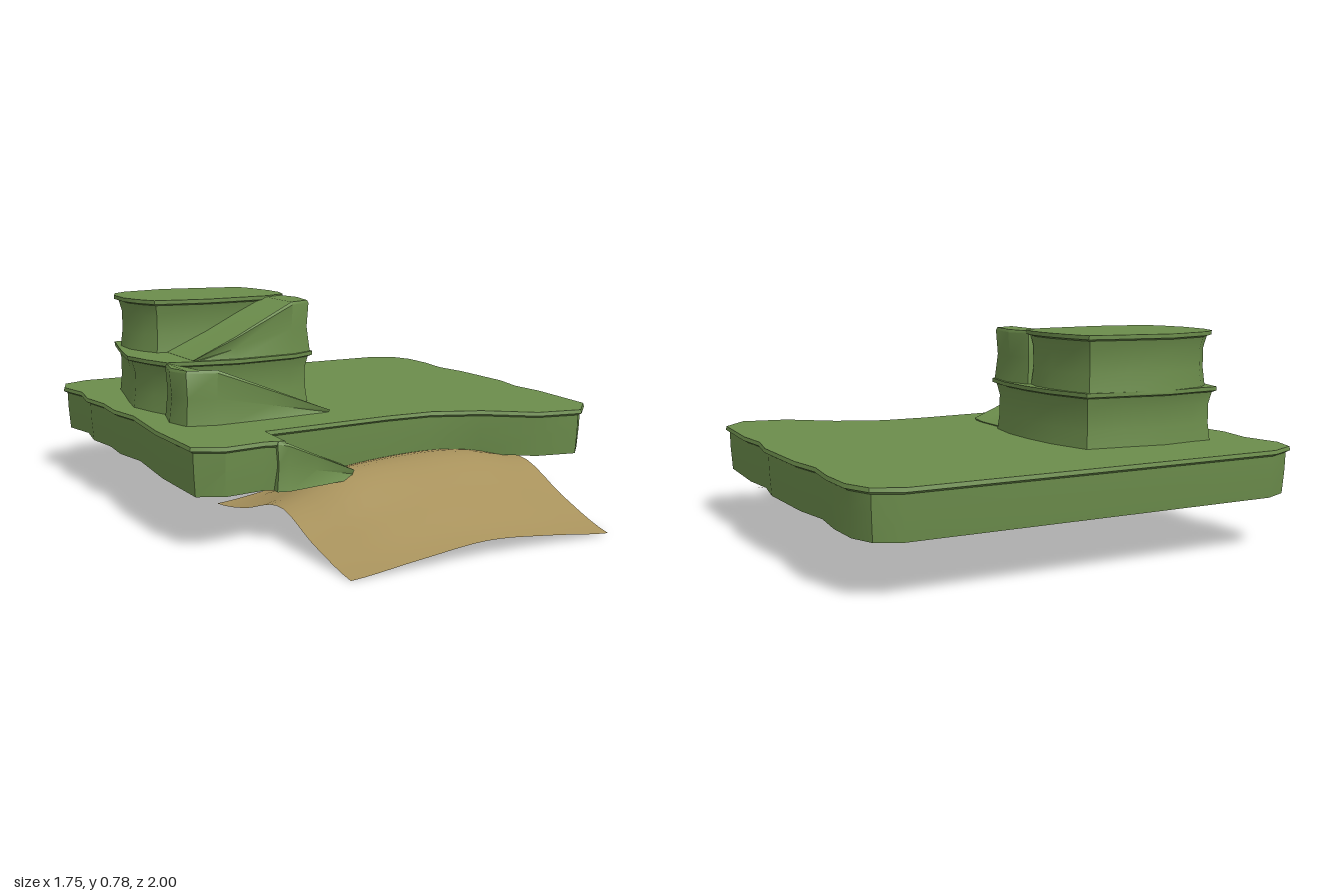
import * as THREE from 'three';
import { toCreasedNormals } from 'three/addons/utils/BufferGeometryUtils.js';

const grass = new THREE.MeshStandardMaterial({ color: 0x6b8c4b });
const sand = new THREE.MeshStandardMaterial({ color: 0xa8925c, side: THREE.DoubleSide });

// Profiles are [height fraction, inset from outline], bottom to top.
const CLIFF = [[0, 0.02], [0.35, 0.03], [0.7, 0.03], [0.9, 0.018], [0.93, 0], [1, 0]];
const SLAB = [[0, 0.025], [0.5, 0.018], [0.87, 0.016], [0.92, 0], [1, 0.004]];
const RAMP = [[0, -0.005], [0.5, 0.008], [0.95, 0], [1, 0.006]];

// Stacks inset copies of an (x, z) outline between base and a top height that may slope.
function cliff(name, outline, base, top, profile) {
  let pts = outline.map(([x, z]) => new THREE.Vector2(x, -z));
  if (THREE.ShapeUtils.area(pts) < 0) pts.reverse();
  const n = pts.length;
  const inward = pts.map((p, i) => {
    const d1 = p.clone().sub(pts[(i + n - 1) % n]).normalize();
    const d2 = pts[(i + 1) % n].clone().sub(p).normalize();
    const d = d1.add(d2).normalize();
    return new THREE.Vector2(-d.y, d.x);
  });
  const pos = [], idx = [];
  for (const [t, inset] of profile) {
    pts.forEach((p, i) => {
      const q = p.clone().addScaledVector(inward[i], inset);
      pos.push(q.x, base + t * (top(p.x, -p.y) - base), -q.y);
    });
  }
  for (let r = 0; r < profile.length - 1; r++) {
    for (let i = 0; i < n; i++) {
      const a = r * n + i, b = r * n + (i + 1) % n;
      idx.push(a, b, b + n, a, b + n, a + n);
    }
  }
  const last = (profile.length - 1) * n;
  for (const [a, b, c] of THREE.ShapeUtils.triangulateShape(pts, [])) {
    idx.push(last + a, last + b, last + c, a, c, b);
  }
  const geo = new THREE.BufferGeometry();
  geo.setAttribute('position', new THREE.Float32BufferAttribute(pos, 3));
  geo.setIndex(idx);
  const mesh = new THREE.Mesh(toCreasedNormals(geo, 0.6), grass);
  mesh.name = name;
  return mesh;
}

// Height that runs from y0 at x0 to y1 at x1 and is level beyond.
const slope = (x0, y0, x1, y1) => (x) =>
  y0 + (y1 - y0) * THREE.MathUtils.clamp((x - x0) / (x1 - x0), 0, 1);

// Draped sheet: smooth surface through a coarse grid of heights.
function beach() {
  const xs = [-0.52, -0.27, 0.01, 0.28, 0.535];
  const zs = [-0.05, 0.2, 0.5, 0.75, 1];
  const heights = [
    [0.008, 0.04, 0.075, 0.088, 0.085],
    [0.05, 0.13, 0.175, 0.18, 0.145],
    [0.125, 0.215, 0.235, 0.23, 0.185],
    [0.055, 0.115, 0.15, 0.13, 0.085],
    [0.004, 0.032, 0.058, 0.037, 0.008],
  ];
  const along = (keys, values, k) => {
    const curve = new THREE.SplineCurve(values.map((v, i) => new THREE.Vector2(keys[i], v)));
    let i = 0;
    while (i < keys.length - 2 && k > keys[i + 1]) i++;
    const f = (k - keys[i]) / (keys[i + 1] - keys[i]);
    return curve.getPoint(THREE.MathUtils.clamp((i + f) / (keys.length - 1), 0, 1)).y;
  };
  const geo = new THREE.PlaneGeometry(1.055, 1.05, 20, 20);
  geo.rotateX(-Math.PI / 2).translate(0.0075, 0, 0.475);
  const p = geo.attributes.position;
  for (let i = 0; i < p.count; i++) {
    const x = p.getX(i), z = p.getZ(i);
    p.setY(i, Math.max(0, along(zs, heights.map((row) => along(xs, row, x)), z)));
  }
  geo.computeVertexNormals();
  const mesh = new THREE.Mesh(geo, sand);
  mesh.name = 'beach';
  return mesh;
}

export function createModel() {
  const group = new THREE.Group();
  group.name = 'terracedIsland';

  // Broad ground slab with a bay cut in the front
  group.add(cliff('groundSlab', [
    [-0.73, -1], [0.73, -1], [0.83, -0.95], [0.87, -0.85], [0.87, -0.7], [0.85, -0.55],
    [0.87, -0.4], [0.87, -0.1], [0.84, 0.05], [0.85, 0.2], [0.825, 0.51], [0.72, 0.62],
    [0.54, 0.585], [0.37, 0.45], [0.19, 0.375], [0, 0.367], [-0.2, 0.378], [-0.52, 0.395],
    [-0.53, 0.575], [-0.6, 0.555], [-0.75, 0.57], [-0.855, 0.51], [-0.86, 0.2], [-0.835, -0.1],
    [-0.86, -0.25], [-0.85, -0.4], [-0.87, -0.55], [-0.845, -0.7], [-0.875, -0.85], [-0.84, -0.95],
  ], 0.2, () => 0.375, SLAB));

  // Ramp from the beach onto the slab
  group.add(cliff('beachRamp', [
    [-0.56, 0.37], [-0.56, 0.57], [-0.52, 0.58], [-0.4, 0.56], [-0.24, 0.535],
    [-0.235, 0.47], [-0.2, 0.41], [-0.2, 0.36],
  ], 0.2, slope(-0.54, 0.374, -0.2, 0.215), RAMP));

  // Two stacked terraces with projecting rims
  group.add(cliff('lowerTerrace', [
    [-0.69, -0.71], [-0.73, -0.55], [-0.765, -0.4], [-0.79, -0.27], [-0.76, -0.14], [-0.72, -0.03],
    [-0.6, 0], [-0.45, 0.025], [-0.2, 0], [-0.1, -0.05], [-0.07, -0.2], [-0.067, -0.35],
    [-0.08, -0.5], [-0.13, -0.68], [-0.3, -0.705], [-0.46, -0.73], [-0.6, -0.715],
  ], 0.365, () => 0.578, CLIFF));
  group.add(cliff('upperTerrace', [
    [-0.735, -0.45], [-0.73, -0.58], [-0.7, -0.66], [-0.64, -0.71], [-0.46, -0.753],
    [-0.3, -0.725], [-0.13, -0.69], [-0.1, -0.6], [-0.08, -0.48], [-0.08, -0.38], [-0.105, -0.3],
    [-0.2, -0.258], [-0.46, -0.24], [-0.67, -0.28], [-0.71, -0.36],
  ], 0.57, () => 0.785, CLIFF));

  // Ramps that climb to each terrace
  group.add(cliff('lowerRamp', [
    [-0.72, -0.05], [-0.755, 0.08], [-0.73, 0.18], [-0.62, 0.21], [-0.4, 0.2], [-0.15, 0.19],
    [-0.14, 0.1], [-0.14, -0.03], [-0.4, -0.03], [-0.62, -0.05],
  ], 0.365, slope(-0.62, 0.575, -0.12, 0.373), RAMP));
  group.add(cliff('upperRamp', [
    [-0.62, -0.3], [-0.62, -0.02], [-0.45, 0], [-0.2, -0.02], [-0.11, -0.06], [-0.085, -0.2],
    [-0.11, -0.31], [-0.2, -0.3],
  ], 0.57, slope(-0.62, 0.58, -0.2, 0.78), RAMP));

  group.add(beach());
  return group;
}
